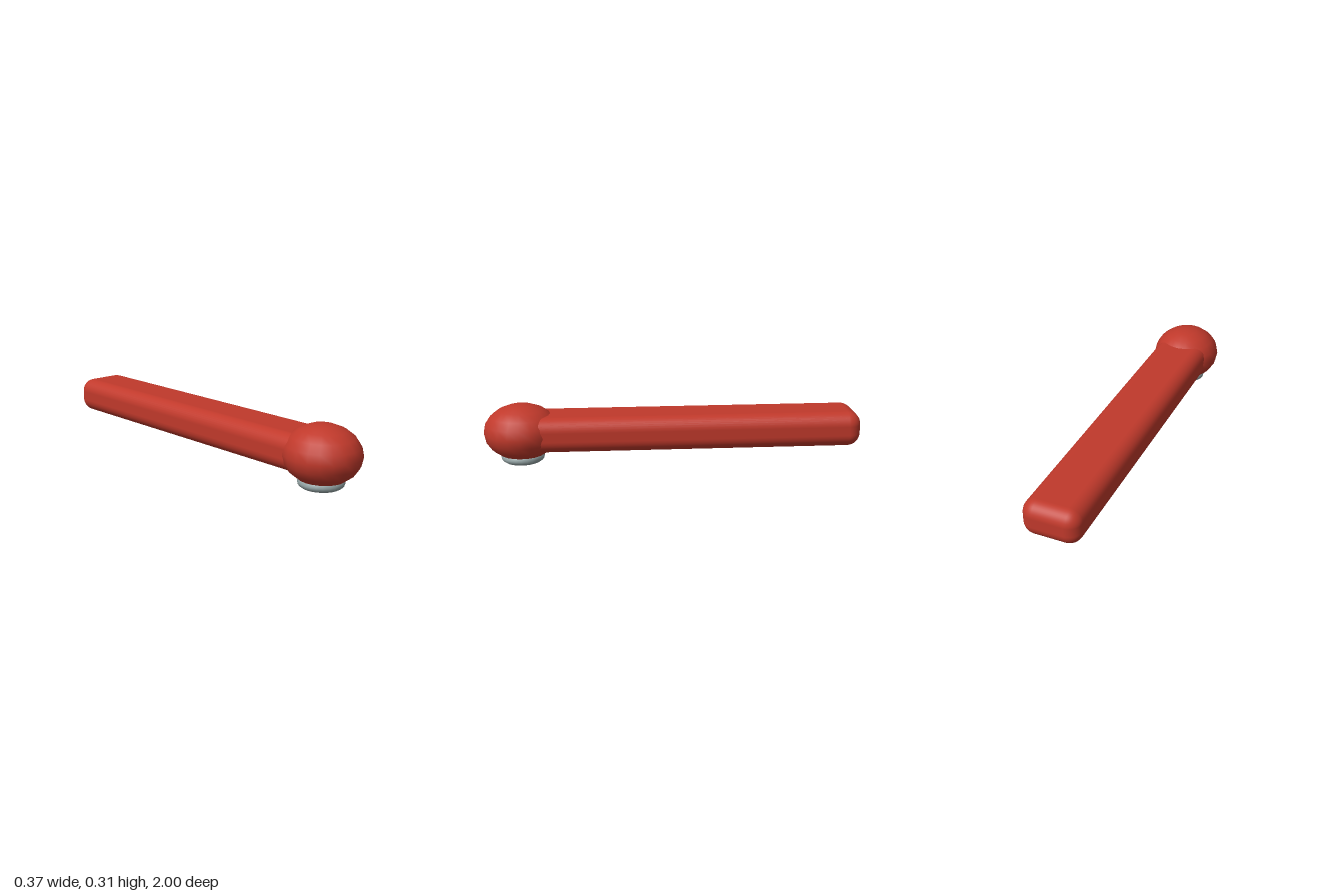
import * as THREE from 'three';
import { RoundedBoxGeometry } from 'three/addons/geometries/RoundedBoxGeometry.js';

export function createModel() {
  const group = new THREE.Group();
  const red = new THREE.MeshStandardMaterial({ color: 0xc0392b });
  const grey = new THREE.MeshStandardMaterial({ color: 0x95a5a6 });
  const headZ = 0.8;

  const add = (name, geometry, material, y, z) => {
    const mesh = new THREE.Mesh(geometry, material);
    mesh.name = name;
    mesh.position.set(0, y, z);
    group.add(mesh);
    return mesh;
  };

  // Long rounded bar, its front end buried in the head
  const back = -1, front = 0.8;
  add('arm', new RoundedBoxGeometry(0.3, 0.187, front - back, 5, 0.07), red, 0.162, (front + back) / 2);

  // Flattened ball at the front end
  const head = add('head', new THREE.SphereGeometry(1, 20, 10), red, 0.16, headZ);
  head.scale.set(0.187, 0.149, 0.2);

  // Open ring under the head
  const ring = new THREE.TorusGeometry(0.09, 0.025, 10, 24).rotateX(Math.PI / 2);
  add('ring', ring, grey, 0.024, headZ);

  return group;
}
